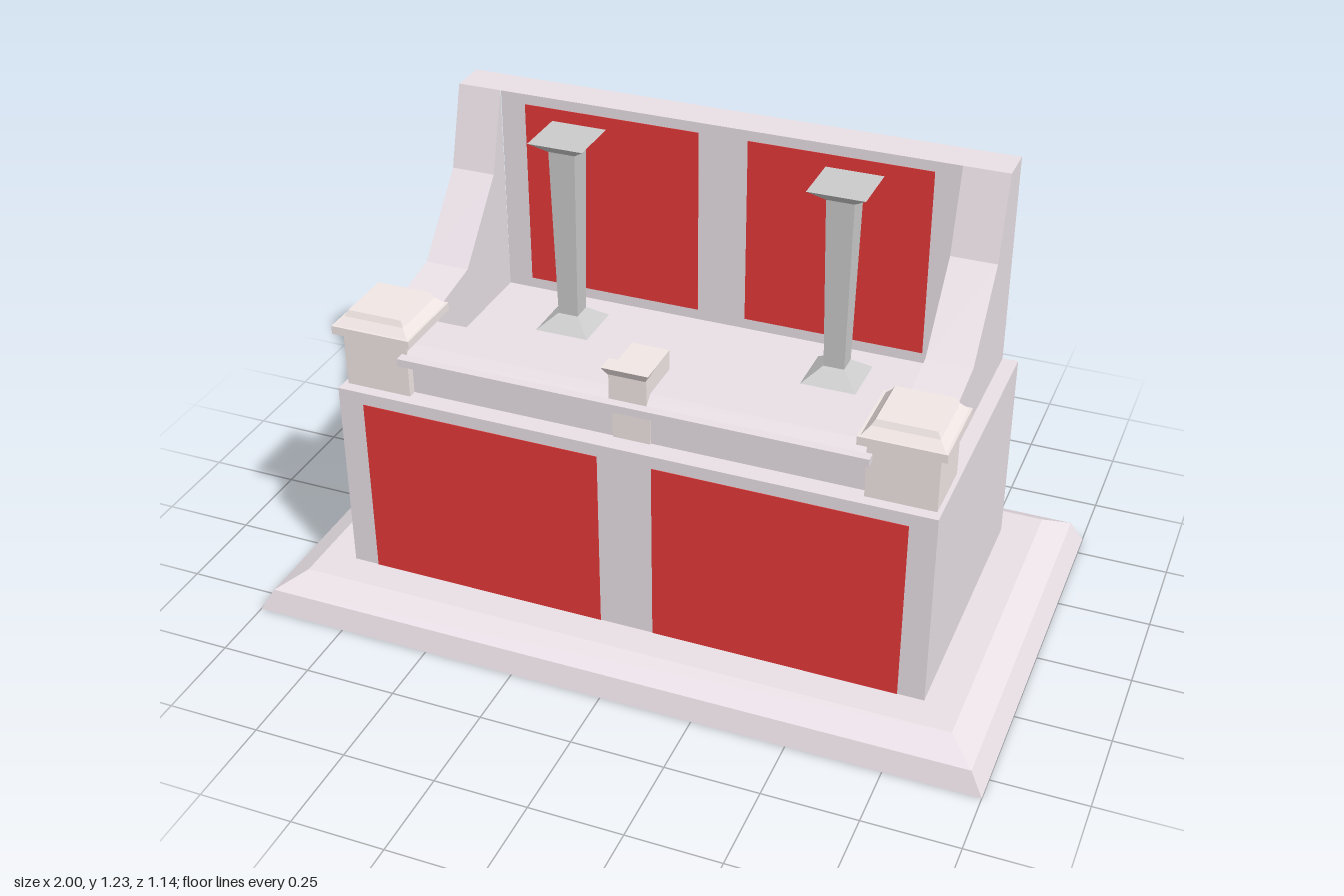
import * as THREE from 'three';

const mat = (color) => new THREE.MeshStandardMaterial({ color, flatShading: true, side: THREE.DoubleSide });

// Geometry from a list of quads, each with four corners
function quads(list) {
  const pos = [];
  for (const [a, b, c, d] of list) pos.push(...a, ...b, ...c, ...a, ...c, ...d);
  const g = new THREE.BufferGeometry();
  g.setAttribute('position', new THREE.Float32BufferAttribute(pos, 3));
  g.computeVertexNormals();
  return g;
}

// Stacked rectangular rings [halfWidth, halfDepth, y], closed on top
function stack(rings, closedBottom = false) {
  const corner = ([w, d, y], i) => [[w, y, d], [w, y, -d], [-w, y, -d], [-w, y, d]][i % 4];
  const ringOf = (r) => [0, 1, 2, 3].map((i) => corner(r, i));
  const list = [];
  for (let k = 0; k < rings.length - 1; k++)
    for (let i = 0; i < 4; i++)
      list.push([corner(rings[k], i), corner(rings[k], i + 1), corner(rings[k + 1], i + 1), corner(rings[k + 1], i)]);
  list.push(ringOf(rings[rings.length - 1]));
  if (closedBottom) list.push(ringOf(rings[0]).reverse());
  return quads(list);
}

// Sheet swept along x from a [z, y] profile running front to back
function strip(profile, x0, x1) {
  const list = [];
  for (let i = 0; i < profile.length - 1; i++) {
    const [z0, y0] = profile[i], [z1, y1] = profile[i + 1];
    list.push([[x0, y0, z0], [x1, y0, z0], [x1, y1, z1], [x0, y1, z1]]);
  }
  return quads(list);
}

// Upright sheet facing sideways, outlined by [z, y] points
function sideSheet(points, x) {
  const shape = new THREE.Shape(points.map(([z, y]) => new THREE.Vector2(z, y)));
  return new THREE.ShapeGeometry(shape).rotateY(-Math.PI / 2).translate(x, 0, 0);
}

function box(x0, x1, y0, y1, z0, z1) {
  return new THREE.BoxGeometry(x1 - x0, y1 - y0, z1 - z0)
    .translate((x0 + x1) / 2, (y0 + y1) / 2, (z0 + z1) / 2);
}

export function createModel() {
  const group = new THREE.Group();
  const stone = mat(0xe9e0e6), pale = mat(0xf2e8e6), grey = mat(0xcccccc), red = mat(0xe63838);
  const add = (name, geometry, material, x = 0, z = 0) => {
    const mesh = new THREE.Mesh(geometry, material);
    mesh.name = name;
    mesh.position.set(x, 0, z);
    group.add(mesh);
  };

  // Bevelled plinth, hollow underneath, with the foot of the body inside
  add('plinth', stack([[1, 0.57, 0], [0.965, 0.55, 0.06], [0.895, 0.48, 0.1]]), stone);
  add('bodyFloor', box(-0.8, 0.8, 0.062, 0.101, -0.39, 0.39), stone);

  // Lower body, open at the back
  add('bodyFrontAndTop', strip([[0.39, 0.1], [0.39, 0.645], [-0.39, 0.645]], -0.8, 0.8), stone);

  // Back wall with its top cap and rear rib
  add('backWall', strip([[-0.288, 0.645], [-0.288, 1.23]], -0.635, 0.635), stone);
  add('backWallCap', strip([[-0.285, 1.23], [-0.39, 1.23]], -0.758, 0.758), stone);
  add('rearRib', sideSheet([[-0.288, 0.645], [-0.288, 1.23], [-0.39, 1.23], [-0.39, 0.645]], 0), stone);

  // Front parapet with moulding
  const parapet = [[0.335, 0.645], [0.335, 0.747], [0.385, 0.747], [0.385, 0.768], [0.36, 0.768],
    [0.335, 0.79], [0.21, 0.79], [0.21, 0.645]];
  add('parapet', strip(parapet, -0.623, 0.623), stone);

  // Central pilaster with flared head
  add('pilaster', box(-0.05, 0.05, 0.645, 0.845, 0.21, 0.34), pale);
  add('pilasterHead', stack([[0.05, 0.012, 0.84], [0.062, 0.025, 0.863]], true), pale, 0, 0.353);
  add('pilasterHeadStem', box(-0.05, 0.05, 0.765, 0.845, 0.33, 0.36), pale);

  // Curved wing outline
  const slope = [[0.19, 0.77], [-0.04, 0.81], [-0.22, 1.01], [-0.285, 1.23]];

  for (const s of [-1, 1]) {
    add('bodySide', sideSheet([[0.39, 0.1], [0.39, 0.645], [-0.39, 0.645], [-0.39, 0.1]], 0.8 * s), stone);
    add('parapetEnd', sideSheet(parapet, 0.623 * s), stone);

    // Hollow wing, open at the back
    add('wingOuterFace', sideSheet([[0.19, 0.645], ...slope, [-0.39, 1.23], [-0.39, 0.645]], 0.758 * s), stone);
    add('wingInnerFace', sideSheet([[0.19, 0.645], ...slope, [-0.288, 0.645]], 0.635 * s), stone);
    add('wingSlope', strip([[0.19, 0.645], ...slope], s * 0.6965 - 0.0615, s * 0.6965 + 0.0615), stone);

    // Coloured panels, showing on both sides of the walls
    const xs = (a, b) => (s > 0 ? [a, b] : [-b, -a]);
    add('frontPanel', box(...xs(0.073, 0.73), 0.1, 0.61, 0.3885, 0.3915), red);
    add('backPanel', box(...xs(0.068, 0.565), 0.675, 1.2, -0.2895, -0.2865), red);

    // Corner post with domed cap
    add('cornerPost', stack([
      [0.09, 0.088, 0.625], [0.09, 0.088, 0.8], [0.11, 0.11, 0.8], [0.11, 0.11, 0.823],
      [0.103, 0.103, 0.823], [0.084, 0.086, 0.845], [0.075, 0.079, 0.861],
    ]), pale, 0.698 * s, 0.271);

    // Slender column with flared foot and head
    add('column', stack([
      [0.075, 0.075, 0.647], [0.035, 0.035, 0.68], [0.028, 0.028, 0.685],
      [0.037, 0.037, 1.165], [0.077, 0.077, 1.198],
    ], true), grey, 0.377 * s, -0.143);
  }
  return group;
}
